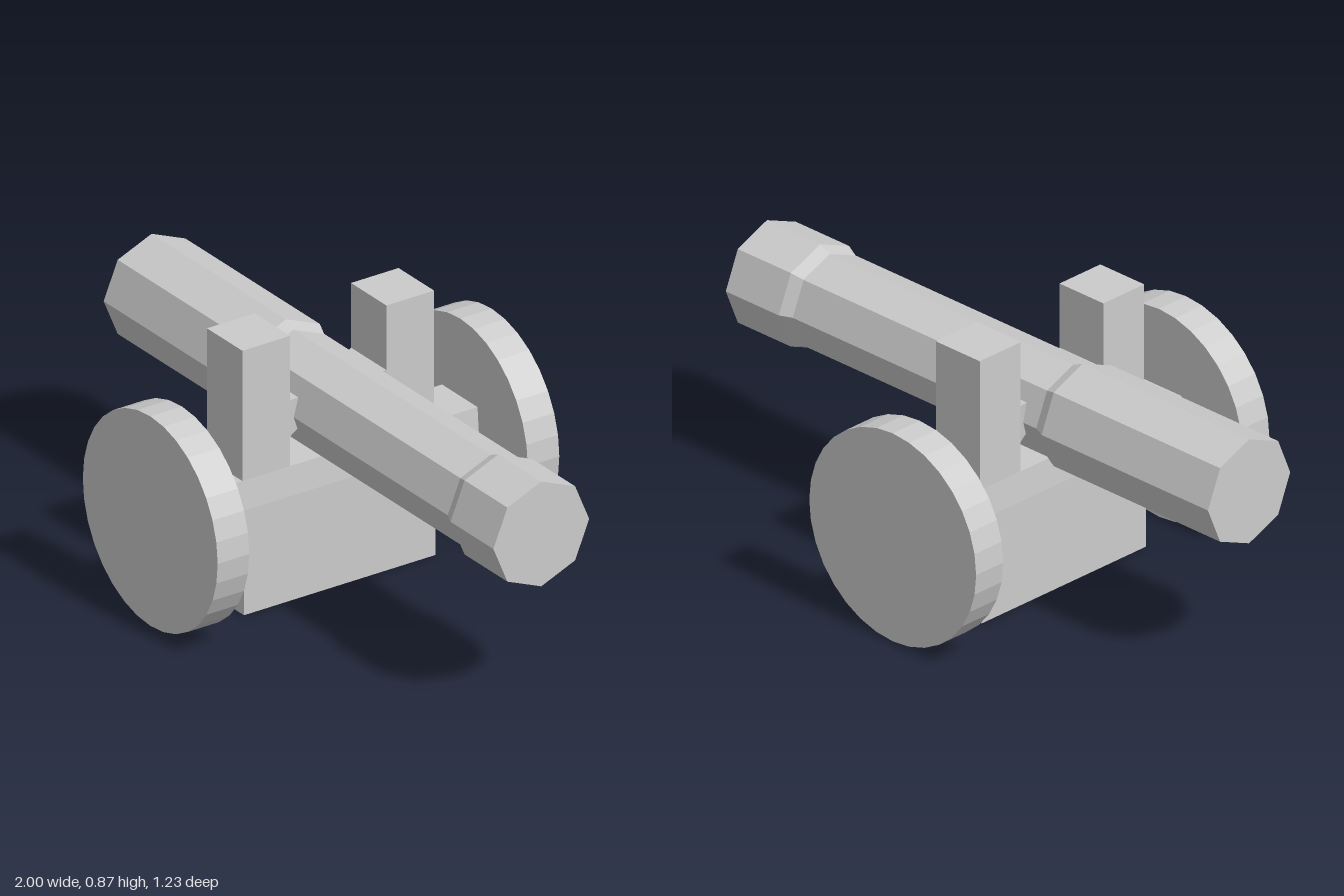
import * as THREE from 'three';

const material = new THREE.MeshStandardMaterial({ color: 0xcccccc, flatShading: true });
const MOUNT_X = -0.133;

function addPart(parent, name, geometry, x = 0, y = 0, z = 0) {
  const mesh = new THREE.Mesh(geometry, material);
  mesh.name = name;
  mesh.position.set(x, y, z);
  parent.add(mesh);
  return mesh;
}

// Box whose +y face is scaled by sx and sz.
function taperedBox(w, h, d, sx, sz) {
  const geometry = new THREE.BoxGeometry(w, h, d);
  const p = geometry.attributes.position;
  for (let i = 0; i < p.count; i++) {
    if (p.getY(i) > 0) p.setXYZ(i, p.getX(i) * sx, p.getY(i), p.getZ(i) * sz);
  }
  geometry.computeVertexNormals();
  return geometry;
}

export function createModel() {
  const model = new THREE.Group();
  model.name = 'cannon';

  // Octagonal barrel with thicker breech and muzzle, lying along x
  const profile = [
    [0, -1], [0.173, -1], [0.173, -0.31], [0.155, -0.27],
    [0.155, 0.74], [0.173, 0.78], [0.173, 1], [0, 1],
  ].map(([r, y]) => new THREE.Vector2(r, y));
  const barrel = new THREE.LatheGeometry(profile, 8);
  barrel.rotateZ(-Math.PI / 2);
  addPart(model, 'barrel', barrel, 0, 0.592, 0);

  // Carriage block, with the slightly tapering axle beam on top
  const carriage = new THREE.Group();
  carriage.name = 'carriage';
  carriage.position.x = MOUNT_X;
  model.add(carriage);
  addPart(carriage, 'base', new THREE.BoxGeometry(0.198, 0.345, 0.692), 0, 0.1725, 0);
  addPart(carriage, 'axle', taperedBox(0.198, 0.095, 1.01, 0.92, 1), 0, 0.3925, 0);

  for (const side of [1, -1]) {
    // Upright post
    addPart(carriage, 'post', new THREE.BoxGeometry(0.182, 0.43, 0.172), 0, 0.655, side * 0.26);

    // Trunnion narrowing from the post to the barrel
    const trunnion = taperedBox(0.182, 0.05, 0.12, 0.78, 0.82);
    trunnion.rotateX(-side * Math.PI / 2);
    addPart(carriage, 'trunnion', trunnion, 0, 0.597, side * 0.15);

    // Solid wheel
    const wheel = new THREE.CylinderGeometry(0.346, 0.346, 0.114, 32);
    wheel.rotateX(Math.PI / 2);
    addPart(carriage, 'wheel', wheel, 0.003, 0.35, side * 0.56);
  }

  return model;
}
